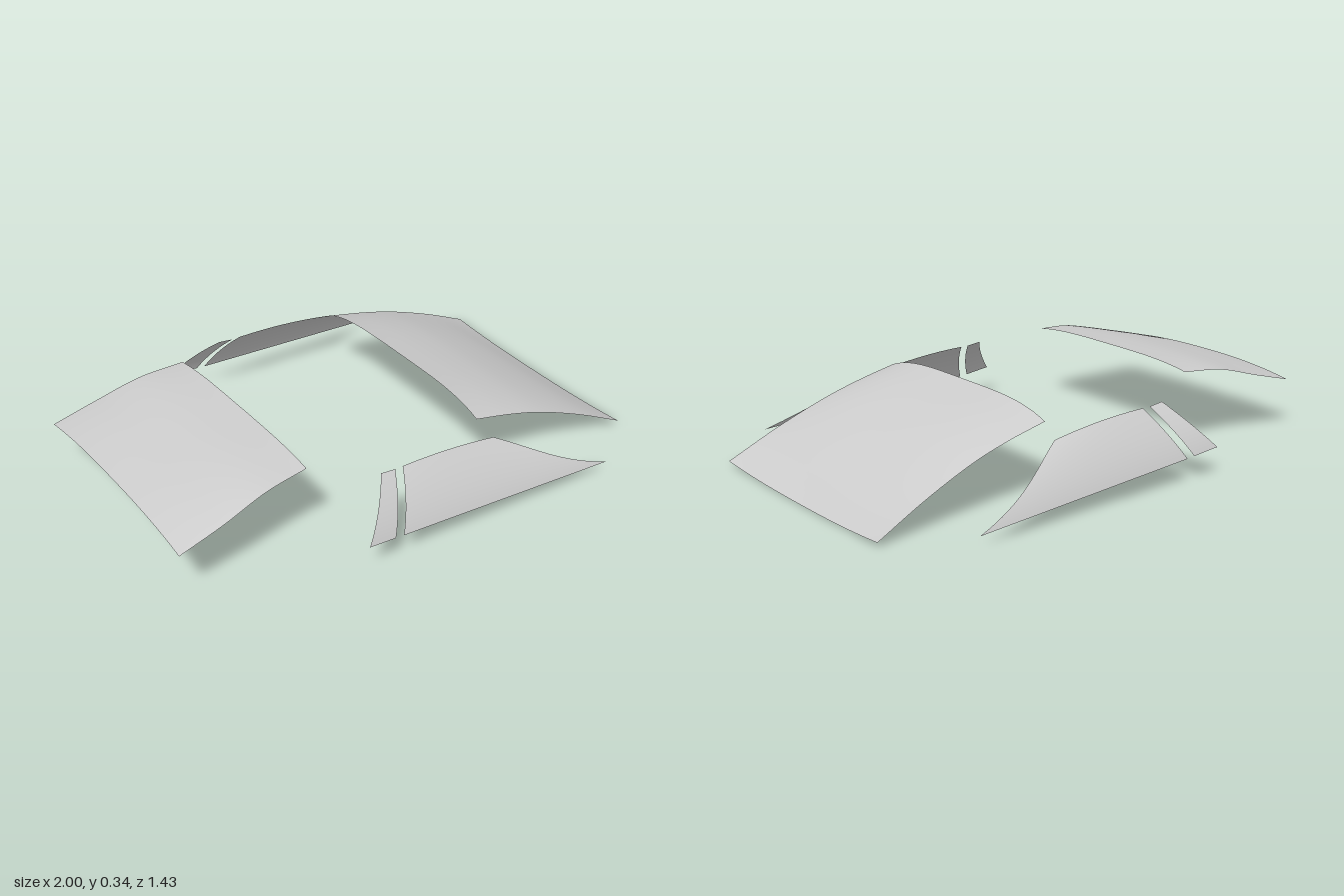
import * as THREE from 'three';

const lerp = THREE.MathUtils.lerp;
const glass = new THREE.MeshStandardMaterial({ color: 0xcccccc, side: THREE.DoubleSide });

// Curved sheet: point(u, v) with u running left to right and v from bottom to top, seen from outside
function sheet(name, point, nu = 24, nv = 16) {
  const geo = new THREE.PlaneGeometry(1, 1, nu, nv);
  const pos = geo.attributes.position;
  for (let i = 0; i < pos.count; i++) {
    pos.setXYZ(i, ...point(pos.getX(i) + 0.5, pos.getY(i) + 0.5));
  }
  geo.computeVertexNormals();
  const mesh = new THREE.Mesh(geo, glass);
  mesh.name = name;
  return mesh;
}

// Screen across the car; each row, bottom to top: [x, centre height, edge height, half width]
function screen(name, rows, facing, powBottom, powTop) {
  const curve = (pick) => new THREE.CatmullRomCurve3(
    rows.map((r) => new THREE.Vector3(...pick(r))), false, 'catmullrom');
  const centre = curve((r) => [r[0], r[1], 0]);
  const edge = curve((r) => [r[0], r[2], r[3]]);
  return sheet(name, (u, v) => {
    const c = centre.getPoint(v), e = edge.getPoint(v);
    const s = 1 - 2 * u;
    const bend = Math.abs(s) ** lerp(powBottom, powTop, v);
    return [c.x, lerp(c.y, e.y, bend), facing * s * e.z];
  }, 32, 24);
}

// Side pane between four corners [x, y, z]; the section bulges outward,
// the top edge arches and the front edge is slightly hollow
function sidePane(name, side, { topRear, topFront, lowRear, lowFront, arch = 0, hollow = 0 }) {
  return sheet(name, (u, v) => {
    const s = side > 0 ? u : 1 - u;
    const t = 1 - v;
    const bulge = 1.4 * t - 0.4 * t * t;
    const top = topRear.map((a, i) => lerp(a, topFront[i], s));
    const low = lowRear.map((a, i) => lerp(a, lowFront[i], s));
    const x = lerp(top[0], low[0], t) - hollow * s * 4 * t * t * (1 - t);
    const y = lerp(top[1] + arch * 4 * s * (1 - s), low[1], t);
    return [x, y, side * lerp(top[2], low[2], bulge)];
  });
}

export function createModel() {
  const model = new THREE.Group();
  model.name = 'carGlass';

  // Windscreen and rear screen
  model.add(screen('windscreen', [
    [1.0, 0.003, 0.02, 0.513],
    [0.8, 0.13, 0.115, 0.5],
    [0.6, 0.228, 0.195, 0.489],
    [0.44, 0.285, 0.243, 0.485],
    [0.27, 0.33, 0.282, 0.483],
  ], 1, 2.5, 4));
  model.add(screen('rearScreen', [
    [-1.0, 0.245, 0.21, 0.486],
    [-0.82, 0.291, 0.258, 0.478],
    [-0.64, 0.328, 0.308, 0.46],
    [-0.46, 0.347, 0.325, 0.44],
  ], -1, 2.5, 3.5));

  // Door window and small quarter window on each side
  for (const [label, side] of [['left', -1], ['right', 1]]) {
    model.add(sidePane(`${label}DoorWindow`, side, {
      topRear: [-0.13, 0.273, 0.56], topFront: [0.29, 0.237, 0.56],
      lowRear: [-0.225, 0.095, 0.702], lowFront: [0.735, 0.04, 0.717],
      arch: 0.0095, hollow: 0.05,
    }));
    model.add(sidePane(`${label}QuarterWindow`, side, {
      topRear: [-0.225, 0.28, 0.56], topFront: [-0.163, 0.273, 0.56],
      lowRear: [-0.375, 0.11, 0.706], lowFront: [-0.26, 0.098, 0.702],
    }));
  }
  return model;
}
